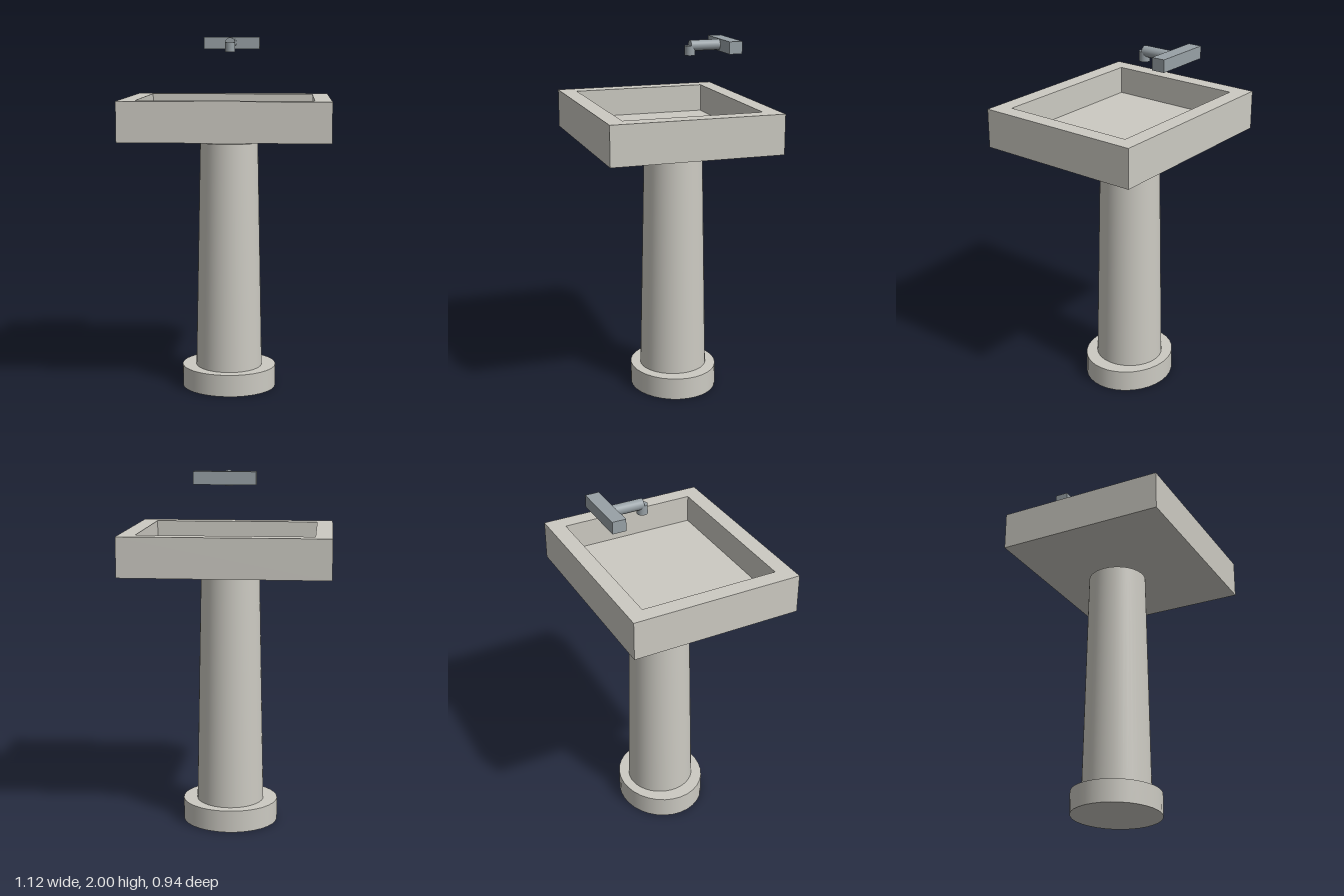
import * as THREE from 'three';

export function createModel() {
  const sink = new THREE.Group();
  sink.name = 'pedestalSink';
  const ceramic = new THREE.MeshStandardMaterial({ color: 0xcccac2 });
  ceramic.name = 'ceramic';
  const metal = new THREE.MeshStandardMaterial({ color: 0x98a1a6 });
  metal.name = 'metal';

  const add = (name, geometry, material, x, y, z) => {
    const mesh = new THREE.Mesh(geometry, material);
    mesh.name = name;
    mesh.position.set(x, y, z);
    sink.add(mesh);
    return mesh;
  };
  // Upright round part between two heights
  const post = (name, rTop, rBottom, y0, y1, z, material, sides = 32) =>
    add(name, new THREE.CylinderGeometry(rTop, rBottom, y1 - y0, sides), material, 0, (y0 + y1) / 2, z);

  // Pedestal: oval foot, tapered column, short drain pipe
  const base = post('base', 0.269, 0.269, 0, 0.125, -0.048, ceramic);
  base.geometry.scale(1, 1, 0.244 / 0.269);
  post('column', 0.163, 0.19, 0.125, 1.415, -0.048, ceramic, 48);
  post('drainPipe', 0.05, 0.05, 1.415, 1.455, -0.07, metal);

  // Basin: solid bottom below an open rectangular wall
  const rectangle = (path, w, d) =>
    path.moveTo(-w, -d).lineTo(w, -d).lineTo(w, d).lineTo(-w, d).closePath();
  const extrude = (shape, depth) =>
    new THREE.ExtrudeGeometry(shape, { depth, bevelEnabled: false }).rotateX(-Math.PI / 2);
  const wall = rectangle(new THREE.Shape(), 0.56, 0.47);
  wall.holes.push(rectangle(new THREE.Path(), 0.47, 0.38));
  add('basinWalls', extrude(wall, 0.215), ceramic, 0, 1.455, 0);
  add('basinFloor', new THREE.BoxGeometry(0.94, 0.061, 0.76), ceramic, 0, 1.4855, 0);

  // Tap: mounting bar, forward spout and downturned outlet
  add('tapBar', new THREE.BoxGeometry(0.325, 0.067, 0.075), metal, 0, 1.9665, -0.3475);
  add('spout', new THREE.CylinderGeometry(0.029, 0.029, 0.168, 24).rotateX(Math.PI / 2),
    metal, 0, 1.968, -0.227);
  post('outlet', 0.029, 0.029, 1.916, 1.968, -0.143, metal, 24);

  return sink;
}
